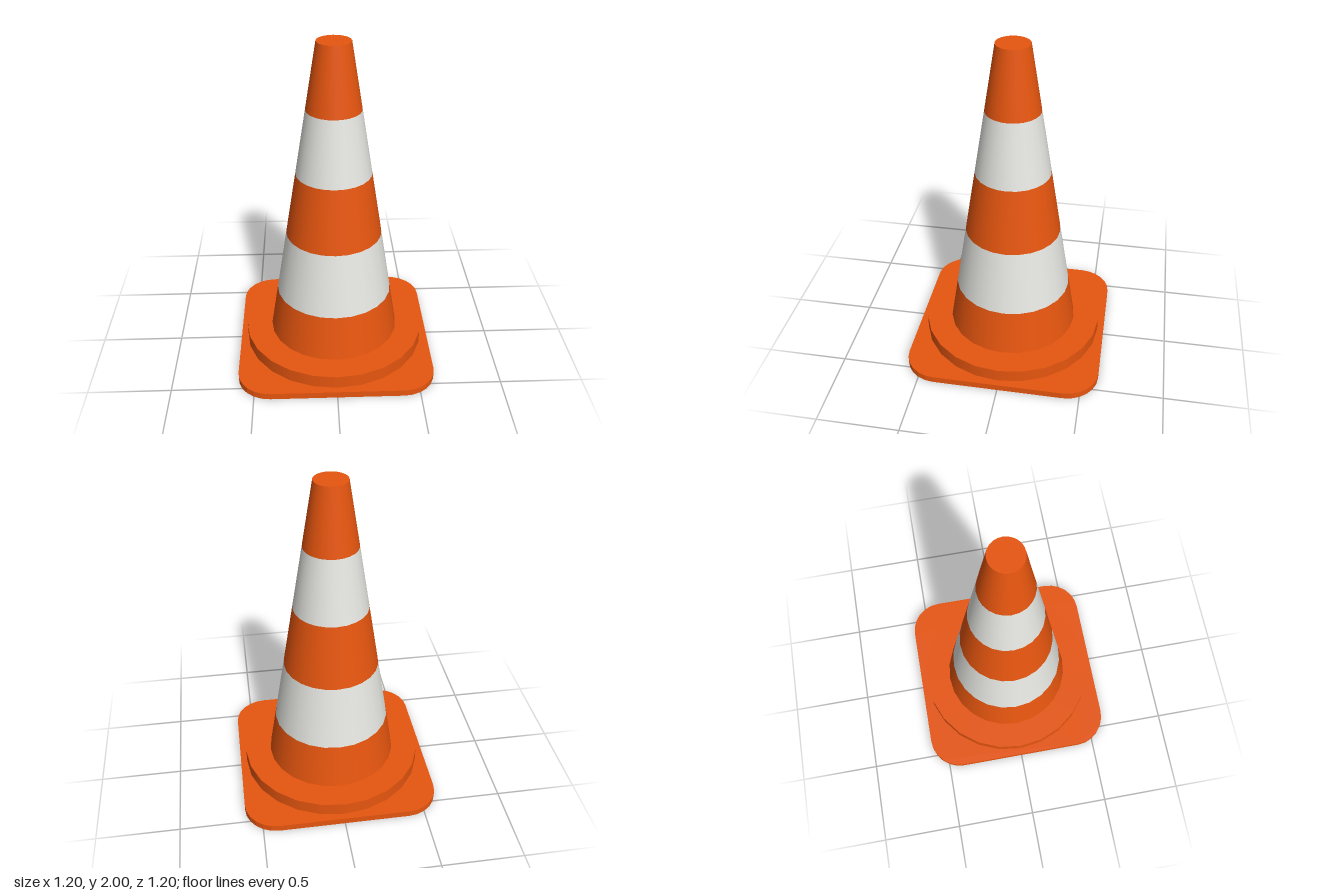
import * as THREE from 'three';

const SIDES = 24;

export function createModel() {
  const orange = new THREE.MeshStandardMaterial({ color: 0xe8560f });
  orange.name = 'orange';
  const white = new THREE.MeshStandardMaterial({ color: 0xe8e8e4 });
  white.name = 'reflective white';

  const model = new THREE.Group();
  model.name = 'trafficCone';

  const add = (name, geometry, material, y = 0) => {
    const mesh = new THREE.Mesh(geometry, material);
    mesh.name = name;
    mesh.position.y = y;
    model.add(mesh);
  };

  // Square foot plate with rounded corners
  const half = 0.6, r = 0.2, c = half - r;
  const outline = new THREE.Shape();
  outline.moveTo(half, -c);
  [[c, c], [-c, c], [-c, -c], [c, -c]].forEach(([x, y], i) => {
    outline.absarc(x, y, r, i * Math.PI / 2, (i + 1) * Math.PI / 2, false);
  });
  const plate = new THREE.ExtrudeGeometry(outline, { depth: 0.04, bevelEnabled: false, curveSegments: 3 });
  plate.rotateX(-Math.PI / 2);
  add('footPlate', plate, orange);

  // Round collar under the cone
  add('collar', new THREE.CylinderGeometry(0.56, 0.56, 0.08, SIDES), orange, 0.08);

  // Tapered body, split into alternating bands
  const bottom = 0.12, top = 2;
  const radiusAt = (y) => THREE.MathUtils.mapLinear(y, bottom, top, 0.4, 0.1);
  const levels = [bottom, 0.4, 0.8, 1.2, 1.6, top];
  const names = ['lowerBody', 'lowerStripe', 'middleBody', 'upperStripe', 'tip'];
  names.forEach((name, i) => {
    const y0 = levels[i], y1 = levels[i + 1];
    const closed = i === names.length - 1; // only the tip needs a cap
    const band = new THREE.CylinderGeometry(radiusAt(y1), radiusAt(y0), y1 - y0, SIDES, 1, !closed);
    add(name, band, i % 2 ? white : orange, (y0 + y1) / 2);
  });

  return model;
}
